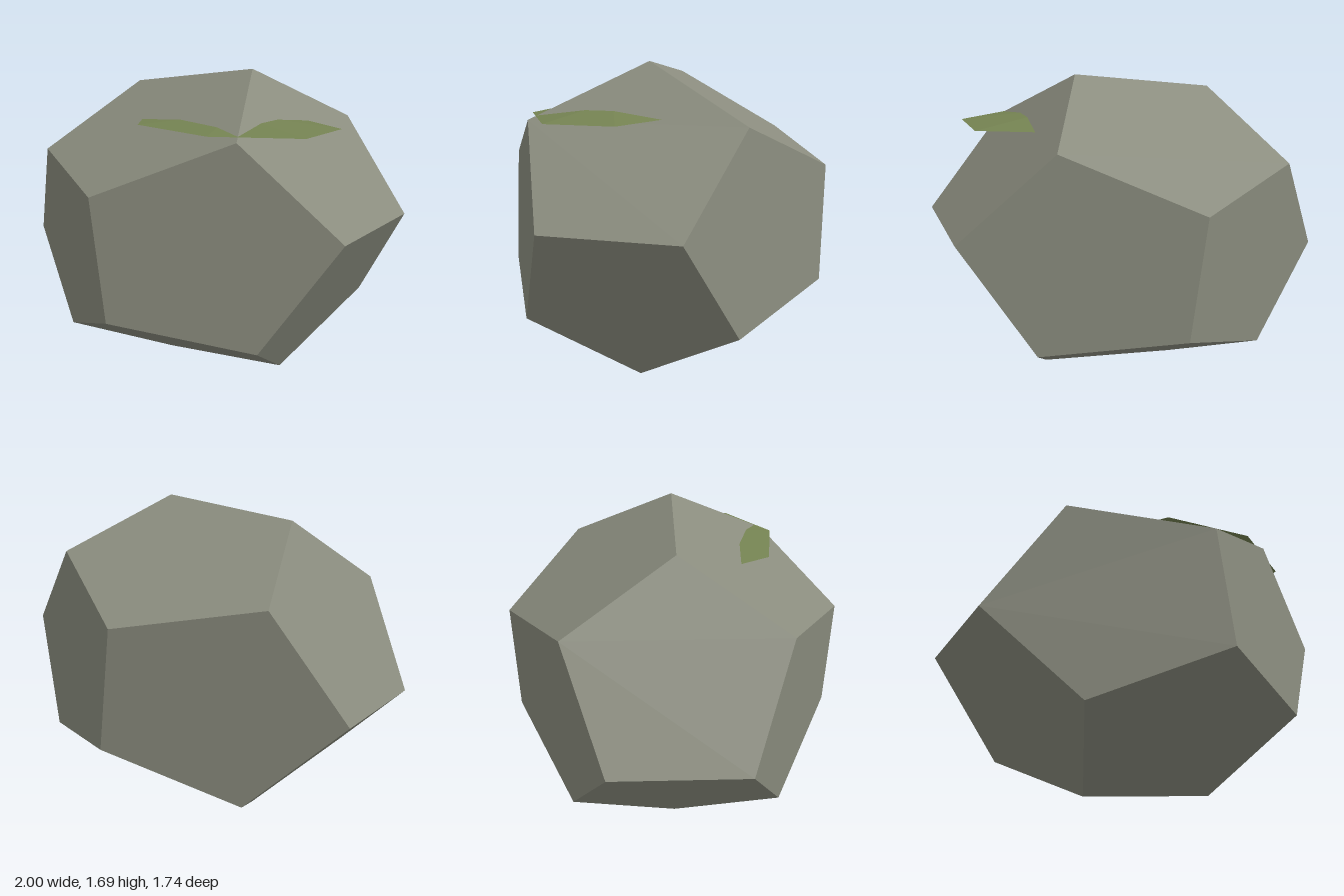
import * as THREE from 'three';

export function createModel() {
  const group = new THREE.Group();
  group.name = 'mossyRock';

  const stone = new THREE.MeshStandardMaterial({ color: 0x8a8c7e, flatShading: true });
  stone.name = 'stone grey';
  const green = new THREE.MeshStandardMaterial({ color: 0x758352, flatShading: true });
  green.name = 'moss green';

  // Boulder: squashed dodecahedron, tipped slightly to one side
  const rock = new THREE.Mesh(new THREE.DodecahedronGeometry(1, 0), stone);
  rock.name = 'rock';
  rock.scale.set(1.079, 0.858, 0.933);
  rock.rotation.z = 0.13;
  rock.position.y = 0.847;
  group.add(rock);

  // Moss: flat seven-sided double cone, partly sunk into the boulder
  const moss = new THREE.Mesh(new THREE.SphereGeometry(1, 7, 2), green);
  moss.name = 'mossPatch';
  moss.scale.set(0.566, 0.052, 0.392);
  moss.position.set(0.29, 1.438, 0.19);
  group.add(moss);

  return group;
}
